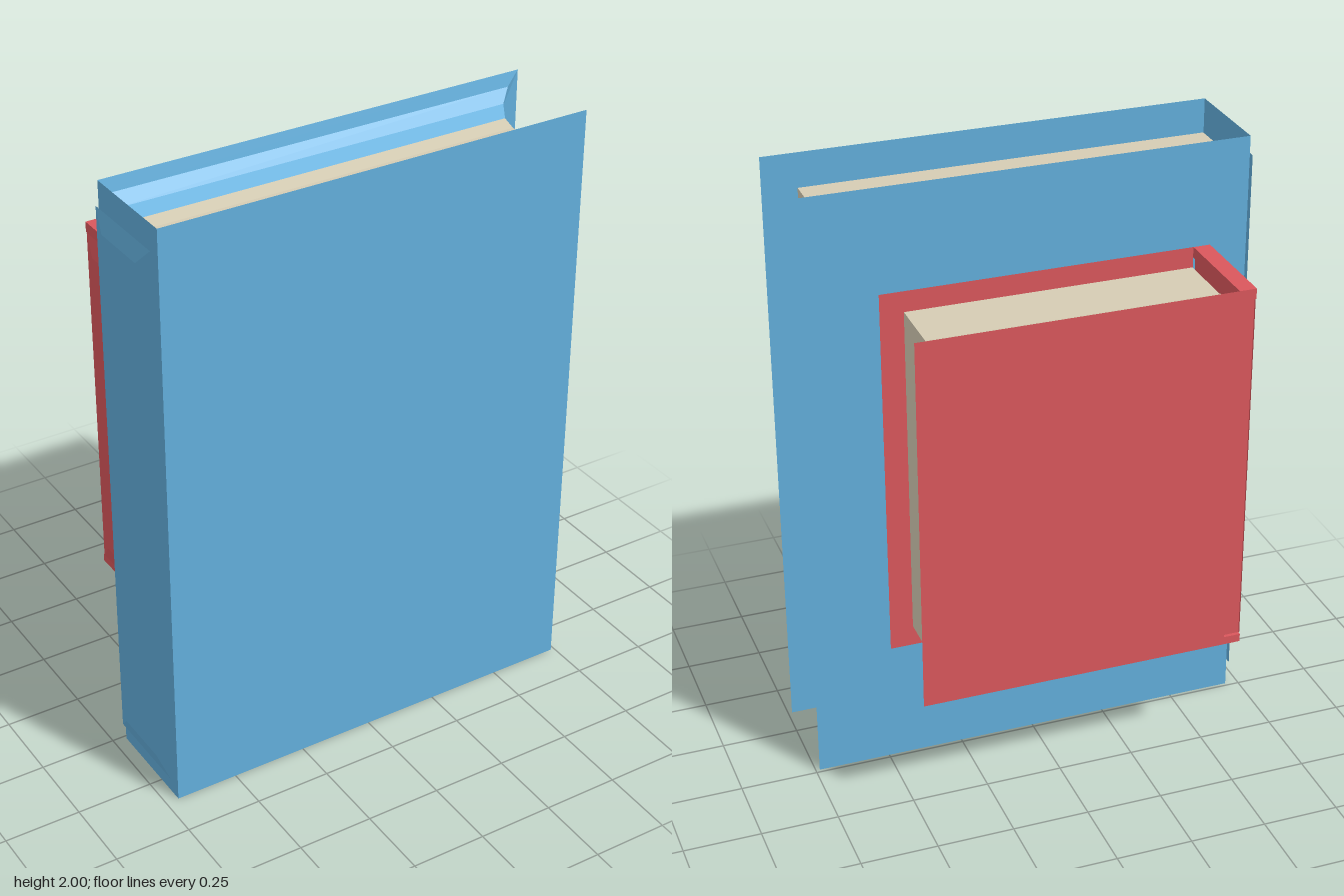
import * as THREE from 'three';

const mat = (name, color) => {
  const m = new THREE.MeshStandardMaterial({ color, side: THREE.DoubleSide, flatShading: true });
  m.name = name;
  return m;
};

function add(group, name, geometry, material) {
  const mesh = new THREE.Mesh(geometry, material);
  mesh.name = name;
  group.add(mesh);
}

// box given by its minimum and maximum corners
function box(x0, x1, y0, y1, z0, z1) {
  return new THREE.BoxGeometry(x1 - x0, y1 - y0, z1 - z0)
    .translate((x0 + x1) / 2, (y0 + y1) / 2, (z0 + z1) / 2);
}

// upright sheet facing along z
function sheet(x0, x1, y0, y1, z) {
  return new THREE.PlaneGeometry(x1 - x0, y1 - y0).translate((x0 + x1) / 2, (y0 + y1) / 2, z);
}

function triangles(points) {
  const g = new THREE.BufferGeometry();
  g.setAttribute('position', new THREE.Float32BufferAttribute(points.flat(), 3));
  g.computeVertexNormals();
  return g;
}

// raised spine panel: a wide rim sloping out to a smaller face
function spinePanel(xRim, xFace, rim, face) {
  const corners = (x, [y0, y1, z0, z1]) => [[x, y0, z0], [x, y0, z1], [x, y1, z1], [x, y1, z0]];
  const a = corners(xRim, rim), b = corners(xFace, face), pts = [];
  for (let i = 0; i < 4; i++) {
    const j = (i + 1) % 4;
    pts.push(a[i], b[j], b[i], a[i], a[j], b[j]);
  }
  pts.push(b[0], b[1], b[2], b[0], b[2], b[3]);
  pts.push(a[0], a[2], a[1], a[0], a[3], a[2]);
  return triangles(pts);
}

// hollow curve between the pages and the back cover, at the head or tail
function addCove(group, o, top, cover, paper) {
  const yEdge = top ? o.y1 : o.y0, yPage = top ? o.py1 : o.py0;
  const yLow = yPage + (top ? -1 : 1) * o.drop;
  const apex = [o.px1, yLow, o.z0];
  const steps = 4, curve = [];
  for (let i = 0; i <= steps; i++) {
    const t = (i / steps) * Math.PI / 2, c = Math.cos(t);
    curve.push([
      o.x1 - (o.x1 - o.px1) * c,
      yEdge - (yEdge - yPage) * c,
      o.zCove - (o.zCove - o.z0) * Math.sin(t),
    ]);
  }
  const strips = [[], []], fan = [];
  const flip = (a, b, c) => (top ? [a, b, c] : [a, c, b]);
  for (let i = 0; i < steps; i++) {
    const p = curve[i], q = curve[i + 1];
    const pl = [o.px0, p[1], p[2]], ql = [o.px0, q[1], q[2]];
    strips[i ? 1 : 0].push(...flip(pl, p, q), ...flip(pl, q, ql));
    fan.push(...flip(apex, q, p));
  }
  const end = top ? 'head' : 'tail';
  add(group, end + 'PageCurve', triangles(strips[0]), paper);
  add(group, end + 'CoverCurve', triangles(strips[1]), cover);
  add(group, end + 'CornerFan', triangles(fan), cover);
}

function makeBook(name, o, cover, paper) {
  const g = new THREE.Group();
  g.name = name;
  add(g, 'pages', box(o.px0 + 0.002, o.px1, o.py0, o.py1, o.z0 + 0.002, o.z1 - 0.002), paper);
  add(g, 'backCover', sheet(o.px0, o.x1, o.y0, o.y1, o.z0), cover);
  add(g, 'frontCover', sheet(o.px0, o.x1, o.y0, o.y1, o.z1), cover);
  addCove(g, o, true, cover, paper);
  addCove(g, o, false, cover, paper);
  return g;
}

export function createModel() {
  const blue = mat('blue cover', 0x62aedb);
  const red = mat('red cover', 0xda575c);
  const paper = mat('paper', 0xd5ccb3);
  const model = new THREE.Group();
  model.name = 'twoBooks';

  // large book with a thin spine and a raised panel on a neck
  const large = makeBook('largeBook', {
    x1: 0.737, y0: 0, y1: 2, z0: 0.012, z1: 0.357,
    px0: -0.707, px1: 0.625, py0: 0.113, py1: 1.887, zCove: 0.15, drop: 0.137,
  }, blue, paper);
  add(large, 'spine',
    new THREE.PlaneGeometry(0.345, 2).rotateY(-Math.PI / 2).translate(-0.707, 1, 0.1845), blue);
  add(large, 'spineNeck', box(-0.726, -0.707, 0.135, 1.87, 0.085, 0.282), blue);
  add(large, 'spinePanel',
    spinePanel(-0.723, -0.739, [0.075, 1.93, 0.025, 0.343], [0.135, 1.87, 0.085, 0.282]), blue);
  model.add(large);

  // small book with a thick spine, capped at both ends
  const small = makeBook('smallBook', {
    x1: 0.49, y0: 0.43, y1: 1.672, z0: -0.357, z1: -0.014,
    px0: -0.518, px1: 0.415, py0: 0.5, py1: 1.605, zCove: -0.22, drop: 0.085,
  }, red, paper);
  add(small, 'spineCore', box(-0.573, -0.52, 0.455, 1.645, -0.345, -0.026), red);
  for (const [y0, y1] of [[0.43, 0.457], [1.638, 1.672]]) {
    add(small, 'spineCap', box(-0.573, -0.518, y0, y1, -0.357, -0.014), red);
  }
  add(small, 'spinePanel',
    spinePanel(-0.574, -0.587, [0.457, 1.638, -0.35, -0.021], [0.52, 1.58, -0.295, -0.08]), red);
  model.add(small);

  return model;
}
